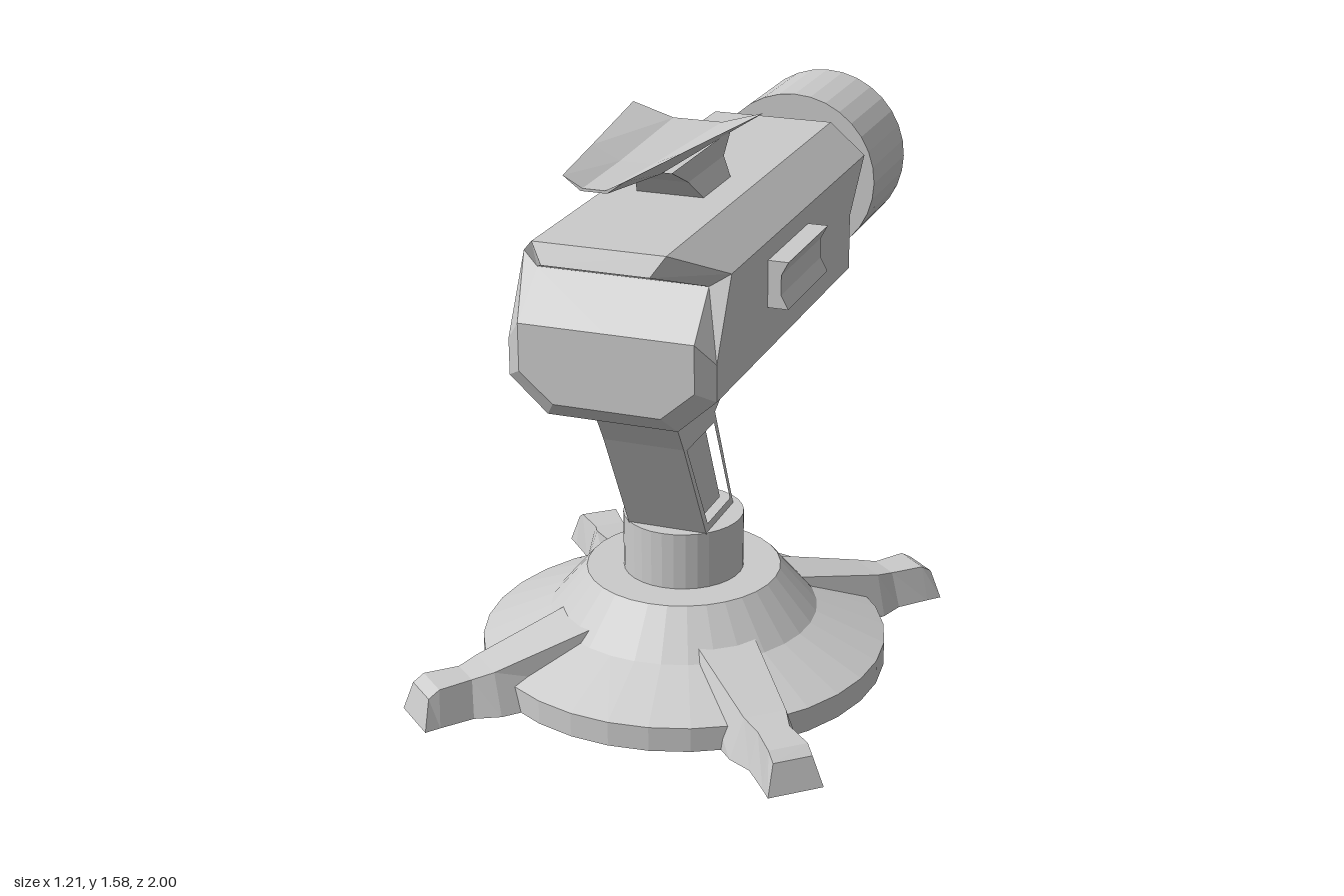
import * as THREE from 'three';

const material = new THREE.MeshStandardMaterial({ color: 0xcccccc, flatShading: true });

function add(parent, name, geometry) {
  const mesh = new THREE.Mesh(geometry, material);
  mesh.name = name;
  parent.add(mesh);
  return mesh;
}

// Joins loops of [x, y, z] points (counter-clockwise seen from the last loop) into a faceted skin.
function loft(loops, capped = false) {
  const positions = [];
  const tri = (...points) => points.forEach((p) => positions.push(...p));
  for (let s = 0; s < loops.length - 1; s++) {
    const n = loops[s].length;
    for (let i = 0; i < n; i++) {
      const j = (i + 1) % n;
      const [a, b, c, d] = [loops[s][i], loops[s][j], loops[s + 1][j], loops[s + 1][i]];
      tri(a, b, c);
      tri(a, c, d);
    }
  }
  if (capped) {
    const first = loops[0], last = loops[loops.length - 1];
    const faces = (loop) => THREE.ShapeUtils.triangulateShape(loop.map((p) => new THREE.Vector2(p[0], p[1])), []);
    faces(first).forEach(([a, b, c]) => tri(first[a], first[c], first[b]));
    faces(last).forEach(([a, b, c]) => tri(last[a], last[b], last[c]));
  }
  const geometry = new THREE.BufferGeometry();
  geometry.setAttribute('position', new THREE.Float32BufferAttribute(positions, 3));
  geometry.computeVertexNormals();
  return geometry;
}

// Completes a half section (x > 0, bottom to top) with its mirror image.
const mirrored = (half) => [...half, ...half.map(([x, y, z]) => [-x, y, z]).reverse()];

// Flattens a loop onto the middle plane, which closes an end with straight cross strips.
const closing = (loop) => loop.map(([, y, z]) => [0, y, z]);

const lathe = (points) => new THREE.LatheGeometry(points.map(([r, y]) => new THREE.Vector2(r, y)), 32);

// Extrudes a side outline of [z, y] points to a width across x.
function sidePlate(outline, width, hole) {
  const toPoints = (list) => list.map(([z, y]) => new THREE.Vector2(z, y));
  const shape = new THREE.Shape(toPoints(outline));
  if (hole) shape.holes.push(new THREE.Path(toPoints(hole)));
  const geometry = new THREE.ExtrudeGeometry(shape, { depth: width, bevelEnabled: false });
  return geometry.translate(0, 0, -width / 2).rotateY(-Math.PI / 2);
}

function createBase() {
  const base = new THREE.Group();
  base.name = 'base';
  add(base, 'baseDisc', lathe([[0, 0], [0.575, 0], [0.575, 0.07], [0.38, 0.155], [0.275, 0.28], [0, 0.28]]));
  const neck = add(base, 'neck', new THREE.CylinderGeometry(0.17, 0.17, 0.17, 32));
  neck.position.y = 0.36;

  // Four splayed feet: [bottom reach, top reach, bottom half width, top half width, height]
  const leg = loft([
    [0.25, 0.25, 0.12, 0.09, 0.21],
    [0.62, 0.62, 0.1, 0.06, 0.118],
    [0.69, 0.68, 0.072, 0.045, 0.105],
    [0.79, 0.78, 0.075, 0.055, 0.105],
    [0.835, 0.812, 0.078, 0.055, 0.085],
  ].map(([rb, rt, wb, wt, h]) => mirrored([[wb, 0, rb], [wt, h, rt]])), true);
  const splay = Math.atan2(0.655, 0.755);
  [splay, -splay, Math.PI - splay, Math.PI + splay].forEach((angle) => {
    add(base, 'foot', leg).rotation.y = angle;
  });
  base.position.z = 0.315;
  return base;
}

function createArm() {
  const arm = new THREE.Group();
  arm.name = 'arm';
  const panel = [[0.585, 0.75], [0.43, 0.47], [0.25, 0.47], [0.378, 0.75]];
  const outline = [[0.7, 0.91], [0.61, 0.76], [0.44, 0.44], [0.22, 0.44], [0.37, 0.78], [0.12, 0.91]];
  add(arm, 'armFrame', sidePlate(outline, 0.23, panel));
  add(arm, 'armRecessedPanel', sidePlate(panel, 0.17));
  return arm;
}

function createBody() {
  const body = new THREE.Group();
  body.name = 'body';

  // Eight-sided housing with rear overhang, bevelled front and visor
  const back = mirrored([[0.18, 0.905, -0.305], [0.285, 1, -0.305], [0.285, 1.16, -0.305],
    [0.285, 1.305, -0.44], [0.18, 1.395, -0.44]]);
  const front = mirrored([[0.18, 0.905, 0.82], [0.285, 1, 0.82], [0.285, 1.1, 0.82],
    [0.285, 1.305, 0.71], [0.18, 1.395, 0.89]]);
  const plate = mirrored([[0.148, 0.95, 0.86], [0.24, 1.03, 0.86], [0.24, 1.16, 0.86],
    [0.235, 1.275, 0.74], [0.145, 1.343, 0.915]]);
  add(body, 'housing', loft([closing(back), back, front, plate, closing(plate)]));

  // Side grips with a scooped outer face
  const grip = [[0.27, 1.122], [0.342, 1.122], [0.322, 1.16], [0.322, 1.215], [0.342, 1.253], [0.27, 1.253]];
  for (const side of [1, -1]) {
    const shape = new THREE.Shape(grip.map(([x, y]) => new THREE.Vector2(side * x, y)));
    const geometry = new THREE.ExtrudeGeometry(shape, { depth: 0.34, bevelEnabled: false });
    add(body, side > 0 ? 'leftGrip' : 'rightGrip', geometry.translate(0, 0, 0.09));
  }
  return body;
}

function createSight() {
  const sight = new THREE.Group();
  sight.name = 'sight';
  // Waisted pedestal: [height, half width, front z]
  const pedestal = [[1.385, 0.098, 0.39], [1.452, 0.075, 0.46], [1.525, 0.095, 0.63]].map(([y, w, z]) =>
    [[w, y, z], [w, y, 0.19], [-w, y, 0.19], [-w, y, z]]);
  add(sight, 'sightPedestal', loft(pedestal));
  // Tapered trough, from rear to tip
  const blade = [
    mirrored([[0.095, 1.52, 0.19], [0.187, 1.58, 0.19], [0.07, 1.545, 0.19]]),
    mirrored([[0.065, 1.52, 0.63], [0.122, 1.58, 0.63], [0.045, 1.545, 0.63]]),
    mirrored([[0.035, 1.545, 0.91], [0.082, 1.58, 0.91], [0.03, 1.552, 0.91]]),
  ];
  add(sight, 'sightBlade', loft(blade, true));
  return sight;
}

function createEyepiece() {
  const eyepiece = new THREE.Group();
  eyepiece.name = 'eyepiece';
  const shaft = new THREE.CylinderGeometry(0.09, 0.09, 0.38, 32).translate(0, 0.47, 0);
  add(eyepiece, 'shaft', shaft);
  // Drum with a chamfered rim and a hollow rear end
  add(eyepiece, 'drum', lathe([[0, 0.645], [0.257, 0.645], [0.257, 0.975], [0.228, 1], [0.195, 1],
    [0.195, 0.88], [0, 0.88]]));
  eyepiece.rotation.x = -Math.PI / 2;
  eyepiece.position.y = 1.157;
  return eyepiece;
}

export function createModel() {
  const model = new THREE.Group();
  model.name = 'mountedScope';
  model.add(createBase(), createArm(), createBody(), createSight(), createEyepiece());
  return model;
}
